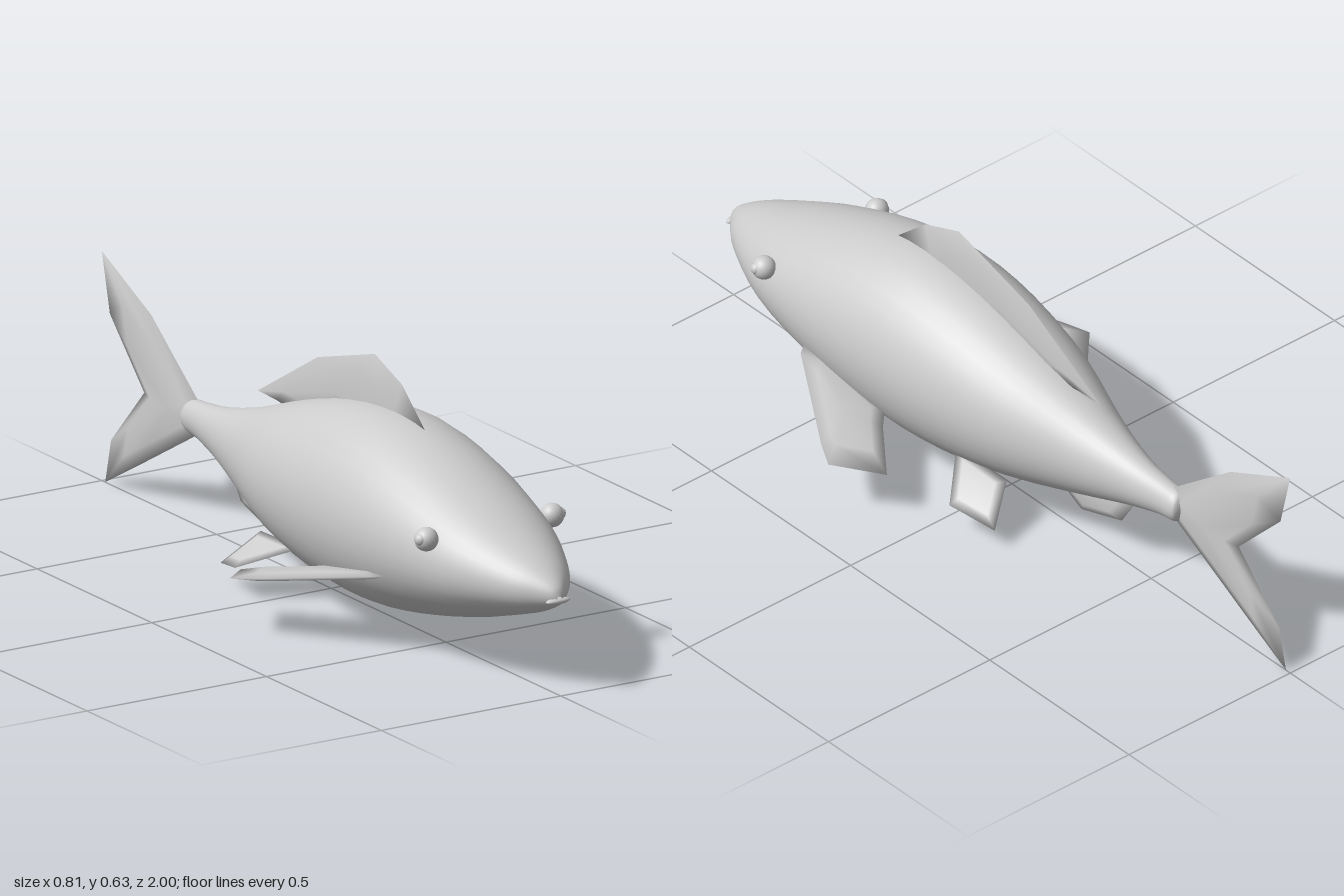
import * as THREE from 'three';

const skin = new THREE.MeshStandardMaterial({ color: 0xcccccc });
skin.name = 'pale grey skin';

function makeMesh(geometry, name) {
  const mesh = new THREE.Mesh(geometry, skin);
  mesh.name = name;
  return mesh;
}

function indexed(positions, index) {
  const g = new THREE.BufferGeometry();
  g.setAttribute('position', new THREE.Float32BufferAttribute(positions, 3));
  g.setIndex(index);
  g.computeVertexNormals();
  return g;
}

// Body: elliptical rings lofted from nose to tail root
function bodyGeometry() {
  // z, top y, bottom y, half width
  const sections = [
    [0.995, 0.243, 0.232, 0.006], [0.985, 0.265, 0.218, 0.022], [0.95, 0.291, 0.2, 0.054],
    [0.9, 0.318, 0.179, 0.09], [0.8, 0.362, 0.147, 0.14], [0.69, 0.408, 0.115, 0.177],
    [0.5, 0.475, 0.071, 0.207], [0.3, 0.512, 0.045, 0.215], [0.1, 0.494, 0.055, 0.203],
    [-0.1, 0.44, 0.09, 0.166], [-0.3, 0.367, 0.143, 0.097], [-0.45, 0.325, 0.19, 0.054],
    [-0.55, 0.311, 0.217, 0.037], [-0.6, 0.306, 0.224, 0.033], [-0.615, 0.29, 0.24, 0.026],
    [-0.62, 0.267, 0.263, 0.002],
  ];
  const curve = (fn) => new THREE.CatmullRomCurve3(sections.map(fn), false, 'catmullrom', 0.5);
  const side = curve(([z, top, bottom]) => new THREE.Vector3(z, top, bottom));
  const width = curve((s) => new THREE.Vector3(s[3], 0, 0));
  const rings = (sections.length - 1) * 3, around = 36;
  const pos = [], index = [];
  for (let i = 0; i <= rings; i++) {
    const { x: z, y: top, z: bottom } = side.getPoint(i / rings);
    const w = width.getPoint(i / rings).x;
    for (let j = 0; j < around; j++) {
      const a = (j / around) * Math.PI * 2;
      pos.push(Math.cos(a) * w, (top + bottom) / 2 + (Math.sin(a) * (top - bottom)) / 2, z);
      if (i === rings) continue;
      const p = i * around + j, q = i * around + ((j + 1) % around);
      index.push(p, p + around, q, q, p + around, q + around);
    }
  }
  return indexed(pos, index);
}

// Fin: puffed plate, thin at its outline and thicker inside
function finGeometry(points, half, middle) {
  const outline = points.map((p) => new THREE.Vector3(...p));
  const n = outline.length;
  const centre = new THREE.Vector3();
  if (middle) centre.set(...middle);
  else outline.forEach((p) => centre.addScaledVector(p, 1 / n));
  const normal = new THREE.Vector3();
  outline.forEach((p, i) => {
    const q = outline[(i + 1) % n];
    normal.add(p.clone().sub(centre).cross(q.clone().sub(centre)));
  });
  normal.normalize();

  const pos = [], index = [];
  outline.forEach((p) => pos.push(...p.toArray()));
  for (const s of [1, -1]) {
    const base = pos.length / 3;
    for (const p of outline) {
      pos.push(...p.clone().lerp(centre, 0.35).addScaledVector(normal, s * half * 0.8).toArray());
    }
    pos.push(...centre.clone().addScaledVector(normal, s * half).toArray());
    const face = (a, b, c) => (s > 0 ? index.push(a, b, c) : index.push(a, c, b));
    for (let i = 0; i < n; i++) {
      const j = (i + 1) % n;
      face(i, j, base + i);
      face(j, base + j, base + i);
      face(base + i, base + j, base + n);
    }
  }
  return indexed(pos, index);
}

export function createModel() {
  const fish = new THREE.Group();
  fish.name = 'fish';
  fish.add(makeMesh(bodyGeometry(), 'body'));

  // Fins on the centre line, as (z, y) outlines
  const upright = (list) => list.map(([z, y]) => [0, y, z]);
  fish.add(makeMesh(finGeometry(upright([
    [0.41, 0.495], [0.31, 0.582], [0.19, 0.627], [-0.06, 0.553], [-0.32, 0.402],
    [-0.24, 0.4], [-0.15, 0.39], [0.1, 0.46],
  ]), 0.011), 'dorsalFin'));
  fish.add(makeMesh(finGeometry(upright([
    [-0.14, 0.13], [-0.18, 0.1], [-0.25, 0.064], [-0.395, 0.11], [-0.46, 0.21], [-0.3, 0.17],
  ]), 0.01), 'analFin'));
  fish.add(makeMesh(finGeometry(upright([
    [-0.57, 0.3], [-0.785, 0.465], [-1, 0.565], [-0.965, 0.42], [-0.815, 0.265],
    [-0.96, 0.11], [-0.985, 0], [-0.83, 0.085], [-0.57, 0.23],
  ]), 0.014, [0, 0.266, -0.7]), 'tailFin'));

  // Paired fins and eyes
  const pectoral = [
    [0.16, 0.203, 0.55], [0.215, 0.2, 0.51], [0.375, 0.153, 0.25], [0.405, 0.143, 0.19],
    [0.31, 0.123, 0.09], [0.21, 0.143, 0.22], [0.16, 0.15, 0.27],
  ];
  const pelvic = [
    [0.12, 0.135, 0.06], [0.237, 0.077, -0.05], [0.2, 0.052, -0.17], [0.12, 0.13, -0.12],
  ];
  for (const [side, s] of [['left', 1], ['right', -1]]) {
    const mirror = (list) => list.map(([x, y, z]) => [s * x, y, z]);
    fish.add(makeMesh(finGeometry(mirror(pectoral), 0.012), side + 'PectoralFin'));
    fish.add(makeMesh(finGeometry(mirror(pelvic), 0.01), side + 'PelvicFin'));

    const eye = makeMesh(new THREE.SphereGeometry(0.029, 20, 14), side + 'Eye');
    eye.position.set(s * 0.175, 0.333, 0.688);
    const pupil = makeMesh(new THREE.SphereGeometry(0.015, 16, 12), side + 'Pupil');
    pupil.position.set(s * 0.193, 0.336, 0.693);
    fish.add(eye, pupil);
  }

  // Lips: a flattened ellipsoid at the snout
  const lips = makeMesh(new THREE.SphereGeometry(1, 20, 12), 'lips');
  lips.scale.set(0.033, 0.008, 0.012);
  lips.position.set(0, 0.231, 0.988);
  fish.add(lips);

  return fish;
}
